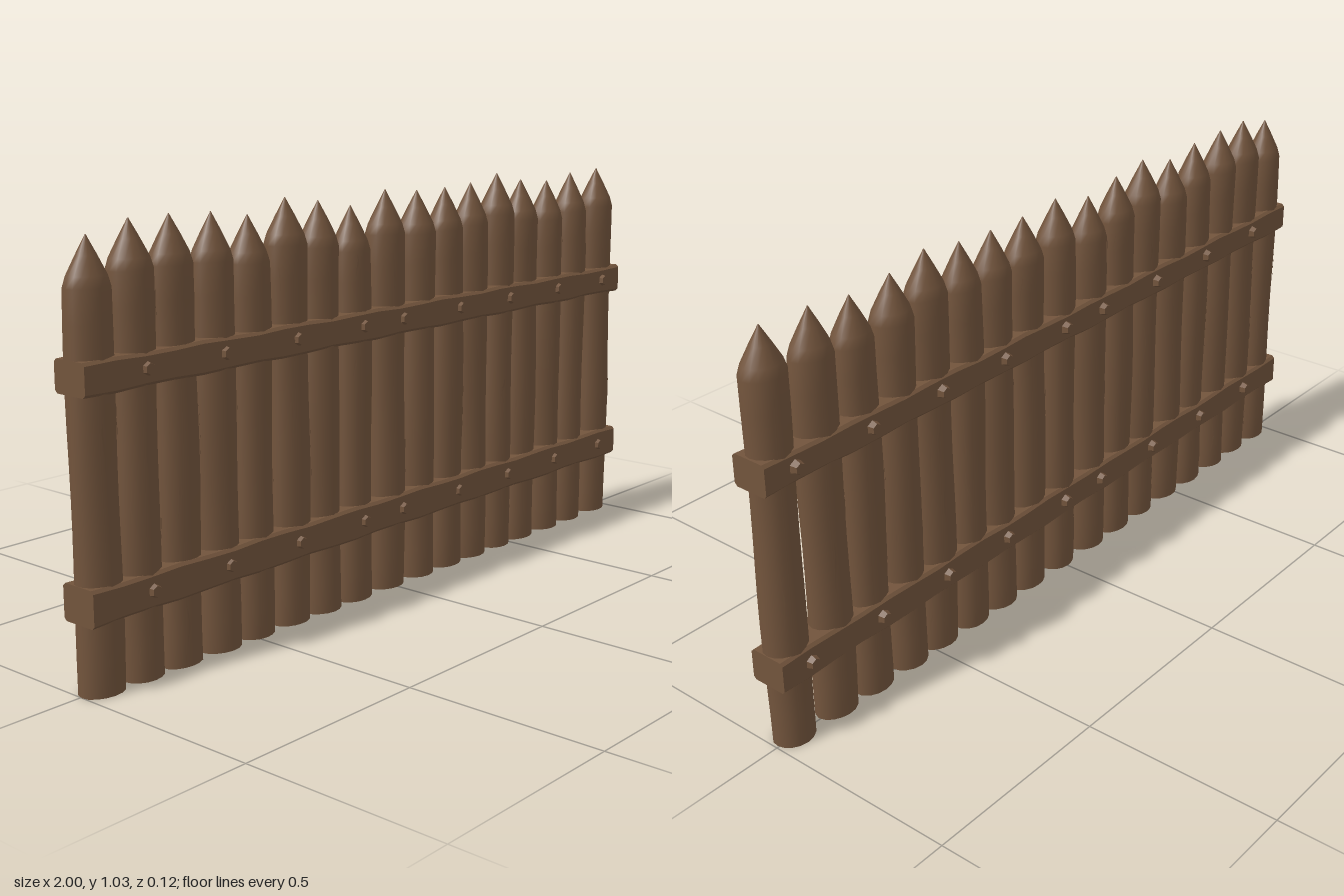
import * as THREE from 'three';
import { mergeGeometries } from 'three/addons/utils/BufferGeometryUtils.js';

const SIDES = 16, RX = 0.0555, RZ = 0.0445, MID_Z = 0.0045;

function seeded(seed) {
  return () => {
    seed = (seed * 16807) % 2147483647;
    return seed / 2147483647;
  };
}

// Skin a list of closed rings and cap both ends
function loft(rings, flat) {
  const n = rings[0].length, pos = [], idx = [];
  rings.forEach(r => r.forEach(p => pos.push(...p)));
  for (let i = 0; i < rings.length - 1; i++) {
    for (let j = 0; j < n; j++) {
      const a = i * n + j, b = i * n + (j + 1) % n;
      idx.push(a, b, b + n, a, b + n, a + n);
    }
  }
  const cap = (ring, reverse) => {
    const s = pos.length / 3;
    ring.forEach(p => pos.push(...p));
    for (let j = 1; j < n - 1; j++) {
      if (reverse) idx.push(s, s + j + 1, s + j);
      else idx.push(s, s + j, s + j + 1);
    }
  };
  cap(rings[0], true);
  cap(rings[rings.length - 1], false);
  let g = new THREE.BufferGeometry();
  g.setAttribute('position', new THREE.Float32BufferAttribute(pos, 3));
  g.setIndex(idx);
  if (flat) g = g.toNonIndexed();
  g.computeVertexNormals();
  return g;
}

// Point on the slightly crooked surface of a stake
function stakePoint(s, angle, y, scale = 1) {
  const bend = 0.0018 * Math.sin(y * 7 + s.phase);
  const swell = 1 + 0.025 * Math.sin(y * 11 + s.phase * 2) + 0.02 * Math.sin(angle * 3 + s.phase);
  const x = s.x + bend + Math.sin(angle) * RX * swell * scale;
  return [THREE.MathUtils.clamp(x, -1, 1), y, MID_Z + Math.cos(angle) * RZ * swell * scale];
}

function stakeRing(s, y, scale) {
  return Array.from({ length: SIDES }, (_, j) => stakePoint(s, j / SIDES * Math.PI * 2, y, scale));
}

// Thin ragged splinter following the stake surface
function splinterGeometry(s, angle, y0, y1, width) {
  const pos = [], idx = [], steps = 8;
  for (let i = 0; i <= steps; i++) {
    const t = i / steps, y = y0 + (y1 - y0) * t;
    const ragged = 0.75 + 0.25 * Math.sin(i * 2.4 + s.phase);
    const half = width / RX * Math.sin(Math.PI * t) * 0.5 * ragged;
    const a = angle + 0.05 * Math.sin(t * 6 + s.phase);
    pos.push(...stakePoint(s, a - half, y, 1.03), ...stakePoint(s, a + half, y, 1.03));
    if (i < steps) {
      const k = i * 2;
      idx.push(k, k + 1, k + 3, k, k + 3, k + 2);
    }
  }
  const g = new THREE.BufferGeometry();
  g.setAttribute('position', new THREE.Float32BufferAttribute(pos, 3));
  g.setIndex(idx);
  g.computeVertexNormals();
  return g;
}

// Chamfered beam with lightly uneven edges
function railGeometry(y, halfH, phase) {
  const rings = [], steps = 24, hz = 0.0495, c = 0.007;
  for (let i = 0; i <= steps; i++) {
    const x = -1 + 2 * i / steps;
    const h = halfH + 0.002 * Math.sin(i * 1.9 + phase);
    const d = hz - 0.001 + 0.001 * Math.sin(i * 1.3 + phase);
    const outline = [[h, -d + c], [h, d - c], [h - c, d], [-h + c, d],
      [-h, d - c], [-h, -d + c], [-h + c, -d], [h - c, -d]];
    rings.push(outline.map(([py, pz]) => [x, y + py, 0.0055 + pz]));
  }
  return loft(rings, true);
}

export function createModel() {
  const wood = new THREE.MeshStandardMaterial({ color: 0x72543c });
  wood.name = 'brown wood';

  const fence = new THREE.Group();
  fence.name = 'palisadeFence';
  const add = (name, geometry) => {
    const m = new THREE.Mesh(geometry, wood);
    m.name = name;
    fence.add(m);
    return m;
  };
  const rand = seeded(4217);

  // Sharpened stakes: position and tip height
  const stakes = [[-0.945, 0.99], [-0.83, 1.015], [-0.715, 1.015], [-0.595, 1.01], [-0.48, 0.995],
    [-0.358, 1.025], [-0.248, 1.01], [-0.13, 0.99], [-0.003, 1.02], [0.12, 1.01], [0.237, 1.01],
    [0.343, 1.015], [0.46, 1.033], [0.57, 1.01], [0.69, 1.0], [0.81, 1.015], [0.942, 1.02]];
  const splinters = [];
  stakes.forEach(([x, tip], i) => {
    const s = { x, phase: i * 2.3 };
    const shoulder = tip - 0.108;
    const rings = [];
    for (let k = 0; k <= 12; k++) rings.push(stakeRing(s, shoulder * k / 12, 1));
    for (const [dy, r] of [[0.025, 0.86], [0.065, 0.47], [0.1, 0.1], [0.108, 0.02]]) {
      rings.push(stakeRing(s, shoulder + dy, r));
    }
    add('stake' + (i + 1), loft(rings, false));

    // Weathered grain on the front and back of each stake
    for (const face of [0, Math.PI]) {
      for (const [low, high] of [[0.03, 0.15], [0.27, 0.42], [0.3, 0.5], [0.42, 0.63], [0.5, 0.65], [0.75, 0.88]]) {
        if (rand() < 0.2) continue;
        const len = (high - low) * (0.45 + 0.55 * rand());
        const y0 = low + (high - low - len) * rand();
        splinters.push(splinterGeometry(s, face + (rand() - 0.5) * 2, y0, y0 + len, 0.004 + 0.004 * rand()));
      }
    }
  });
  // Knot on one stake
  for (const [a, y0, y1] of [[-0.25, 0.41, 0.48], [0, 0.42, 0.5], [0.2, 0.4, 0.46]]) {
    splinters.push(splinterGeometry({ x: 0.46, phase: 12 * 2.3 }, a, y0, y1, 0.012));
  }
  add('stakeGrain', mergeGeometries(splinters));

  // Cross rails with hexagonal bolt heads and raised grain on both faces
  const boltXs = [-0.83, -0.6, -0.368, -0.135, 0.015, 0.245, 0.465, 0.69, 0.915];
  const rails = [
    { name: 'upperRail', y: 0.698, half: 0.037, boltY: 0.7,
      grain: [[-0.96, -0.86], [-0.79, -0.64], [-0.47, -0.38], [0.03, 0.13], [0.16, 0.23], [0.39, 0.45], [0.51, 0.62], [0.84, 0.9]] },
    { name: 'lowerRail', y: 0.207, half: 0.041, boltY: 0.208,
      grain: [[-0.99, -0.85], [-0.81, -0.77], [-0.7, -0.62], [-0.48, -0.4], [-0.08, 0], [0.28, 0.36], [0.74, 0.88]] },
  ];
  rails.forEach((r, k) => {
    add(r.name, railGeometry(r.y, r.half, k * 2));
    for (const side of [1, -1]) {
      const faceZ = 0.0055 + side * 0.0495;
      boltXs.forEach((x, i) => {
        const g = new THREE.CylinderGeometry(0.013, 0.018, 0.016, 6).toNonIndexed();
        g.computeVertexNormals();
        const bolt = add(r.name + (side > 0 ? 'FrontBolt' : 'BackBolt') + (i + 1), g);
        bolt.rotation.x = side * Math.PI / 2;
        bolt.position.set(x, r.boltY, side > 0 ? 0.0555 : -0.05);
      });
      r.grain.forEach(([x0, x1], i) => {
        const half = (x1 - x0) / 2;
        const streak = new THREE.Shape();
        streak.moveTo(-half, 0);
        streak.quadraticCurveTo(0, -0.007, half, 0);
        streak.quadraticCurveTo(0, 0.005, -half, 0);
        const m = add(r.name + 'Grain', new THREE.ShapeGeometry(streak, 6));
        m.rotation.y = side > 0 ? 0 : Math.PI;
        m.position.set((x0 + x1) / 2, r.boltY + 0.002 * Math.sin(i * 3), faceZ + side * 0.0007);
      });
    }
  });
  return fence;
}
